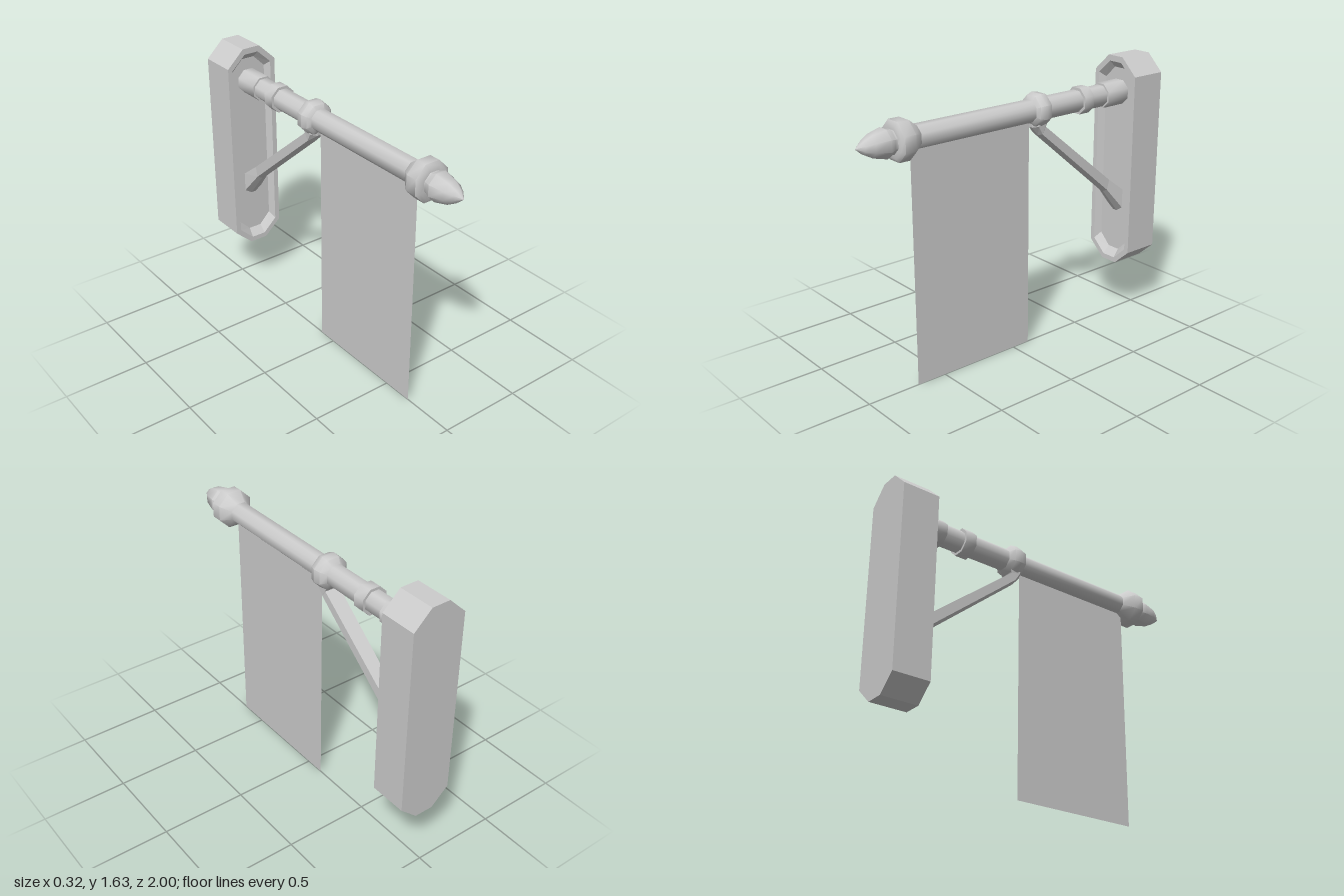
import * as THREE from 'three';
import { toCreasedNormals } from 'three/addons/utils/BufferGeometryUtils.js';

const AXIS_Y = 1.415; // height of the pole axis
const SIDES = 8;

export function createModel() {
  const group = new THREE.Group();
  const smooth = new THREE.MeshStandardMaterial({ color: 0xcccccc });
  const flat = new THREE.MeshStandardMaterial({ color: 0xcccccc, flatShading: true });
  const cloth = new THREE.MeshStandardMaterial({ color: 0xcccccc, side: THREE.DoubleSide });

  const add = (name, geometry, material) => {
    const mesh = new THREE.Mesh(geometry, material);
    mesh.name = name;
    group.add(mesh);
    return mesh;
  };

  // Octagonal turned part along z; profile is [z, half width] from back to front
  const turned = (name, profile) => {
    const k = 1 / Math.cos(Math.PI / SIDES);
    const points = profile.map(([z, r]) => new THREE.Vector2(r * k, z));
    const geo = new THREE.LatheGeometry(points, SIDES, Math.PI / SIDES);
    geo.rotateX(Math.PI / 2);
    add(name, toCreasedNormals(geo, 0.85), smooth).position.y = AXIS_Y;
  };

  // Skin over closed loops of [x, y, z] points, with both ends capped
  const loft = (name, loops) => {
    const n = loops[0].length;
    const index = [];
    for (let s = 0; s < loops.length - 1; s++) {
      for (let i = 0; i < n; i++) {
        const j = (i + 1) % n;
        const a = s * n + i, b = s * n + j;
        index.push(a, b, b + n, a, b + n, a + n);
      }
    }
    const last = (loops.length - 1) * n;
    for (let i = 1; i < n - 1; i++) {
      index.push(0, i + 1, i, last, last + i, last + i + 1);
    }
    const geo = new THREE.BufferGeometry();
    geo.setAttribute('position', new THREE.Float32BufferAttribute(loops.flat(2), 3));
    geo.setIndex(index);
    const faceted = geo.toNonIndexed();
    faceted.computeVertexNormals();
    add(name, faceted, flat);
  };

  // Wall plate: long octagon with a bevelled recess in its front
  const octagon = (z, w, cut, bottom, shoulderLow, shoulderHigh, top) => [
    [w, shoulderLow, z], [w, shoulderHigh, z], [cut, top, z], [-cut, top, z],
    [-w, shoulderHigh, z], [-w, shoulderLow, z], [-cut, bottom, z], [cut, bottom, z],
  ];
  loft('wallPlate', [
    octagon(-1, 0.16, 0.055, 0.345, 0.44, 1.53, 1.63),
    octagon(-0.78, 0.16, 0.055, 0.345, 0.44, 1.53, 1.63),
    octagon(-0.78, 0.13, 0.045, 0.375, 0.455, 1.515, 1.595),
    octagon(-0.82, 0.11, 0.04, 0.42, 0.49, 1.485, 1.555),
  ]);

  // Pole and the sleeves around it
  turned('pole', [[-0.82, 0.06], [0.72, 0.06]]);
  turned('wallSleeve', [[-0.82, 0.07], [-0.66, 0.07], [-0.66, 0.05]]);
  turned('poleBand', [[-0.54, 0.05], [-0.54, 0.075], [-0.47, 0.075], [-0.47, 0.05]]);
  turned('strutRing', [
    [-0.235, 0.055], [-0.205, 0.088], [-0.165, 0.094], [-0.13, 0.083], [-0.115, 0.055],
  ]);

  // Collar and pointed finial at the free end
  turned('endCollar', [
    [0.645, 0.058], [0.71, 0.105], [0.775, 0.105], [0.79, 0.085], [0.79, 0.05],
  ]);
  turned('finial', [
    [0.78, 0.062], [0.8, 0.062], [0.835, 0.076], [0.915, 0.057], [0.96, 0.033], [1, 0],
  ]);

  // Diagonal strut: each section has an upper edge, a lower edge and a half width
  const strutSections = [
    [-0.82, 0.815, -0.82, 0.67, 0.058],
    [-0.72, 0.895, -0.7, 0.82, 0.04],
    [-0.2, 1.32, -0.17, 1.27, 0.045],
    [-0.22, 1.37, -0.127, 1.32, 0.05],
    [-0.215, 1.42, -0.118, 1.41, 0.05],
  ];
  const outline = [[0.25, 0], [1, 0.2], [1, 1], [-1, 1], [-1, 0.2], [-0.25, 0]];
  loft('strut', strutSections.map(([tz, ty, bz, by, w]) =>
    outline.map(([u, t]) => [u * w, by + (ty - by) * t, bz + (tz - bz) * t])));

  // Hanging banner
  const banner = new THREE.PlaneGeometry(0.795, 1.37);
  banner.rotateY(Math.PI / 2);
  add('banner', banner, cloth).position.set(0, 0.685, 0.2825);

  return group;
}
